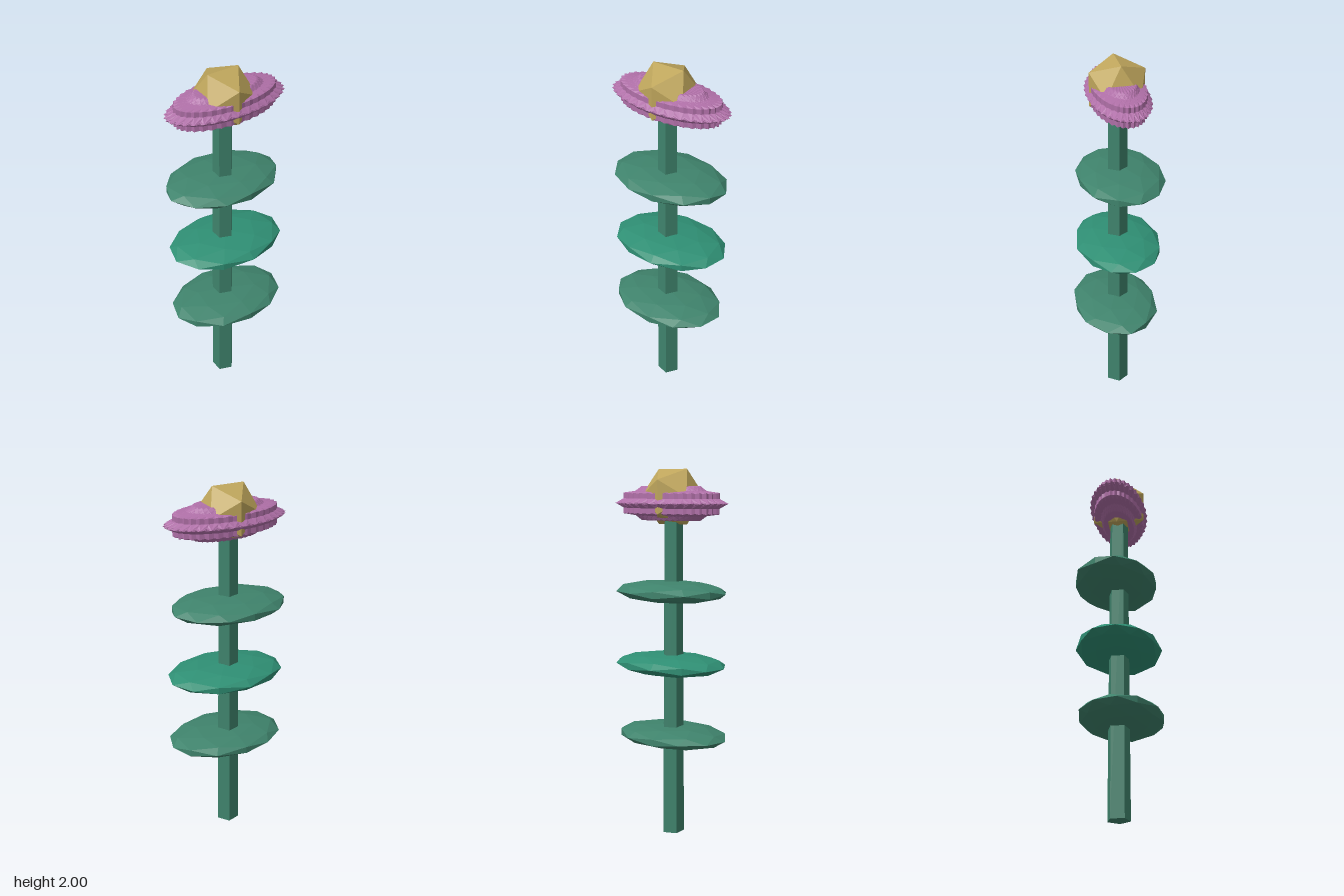
import * as THREE from 'three';

const material = (color) => new THREE.MeshStandardMaterial({ color, flatShading: true });

function addPart(parent, name, geometry, mat, x, y, z) {
  const mesh = new THREE.Mesh(geometry, mat);
  mesh.name = name;
  mesh.position.set(x, y, z);
  parent.add(mesh);
  return mesh;
}

export function createModel() {
  const model = new THREE.Group();
  model.name = 'flower';
  const axisX = -0.01;

  // Five-sided tapering stem with one corner towards +x
  const stem = new THREE.CylinderGeometry(0.053, 0.0635, 1.8, 5, 1, false, Math.PI / 2);
  addPart(model, 'stem', stem, material(0x3f836c), axisX, 0.9, 0);

  // Flattened faceted leaves, each turned before being stretched into an oval
  const leaves = [
    { x: 0, y: 0.55, z: 0.015, turn: -0.49, color: 0x3f836c },
    { x: 0.005, y: 0.95, z: 0, turn: 0.09, color: 0x2f8f74 },
    { x: -0.007, y: 1.35, z: -0.015, turn: 0.67, color: 0x3f836c },
  ];
  for (const { x, y, z, turn, color } of leaves) {
    const leaf = new THREE.IcosahedronGeometry(1, 1).rotateY(turn).scale(0.33, 0.06, 0.235);
    addPart(model, 'leaf', leaf, material(color), x, y, z);
  }

  // Spiky blossom: overlapping turned icosahedra squashed into one oval
  const blossom = new THREE.Group();
  blossom.name = 'blossom';
  blossom.position.set(0.004, 1.82, 0);
  const petalMaterial = material(0xb070a8);
  const petalCount = 17;
  for (let i = 0; i < petalCount; i++) {
    const petal = new THREE.IcosahedronGeometry(1, 0)
      .rotateY((i / petalCount) * Math.PI * 2)
      .scale(0.346, 0.106, 0.163);
    addPart(blossom, 'petal', petal, petalMaterial, 0, 0, 0);
  }
  model.add(blossom);

  // Golden faceted centre
  addPart(model, 'flowerCentre', new THREE.IcosahedronGeometry(0.171, 0), material(0xbfa65c), axisX, 1.855, 0);

  return model;
}
